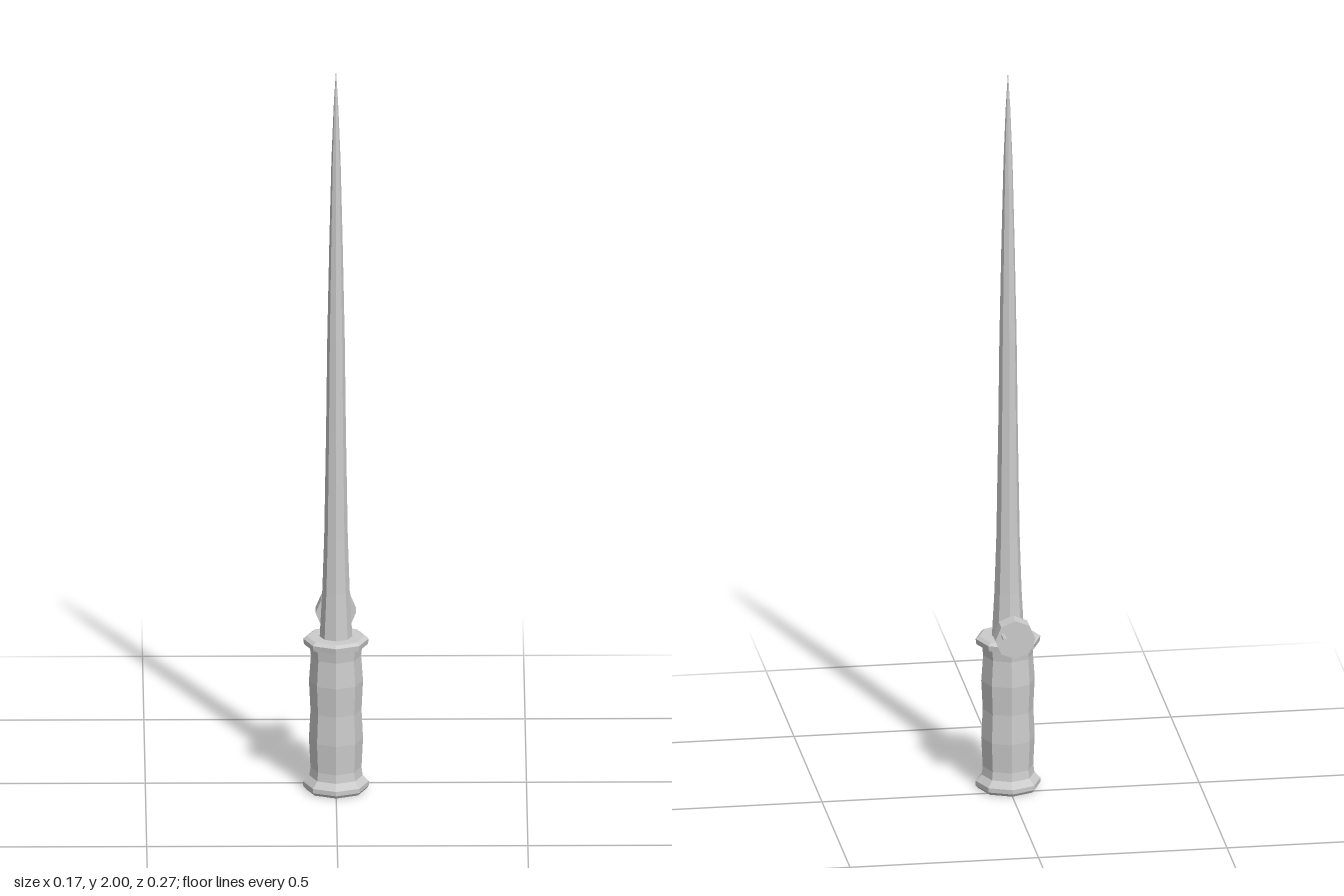
import * as THREE from 'three';

const AXIS_Z = 0.045; // depth of the rod's centre line

export function createModel() {
  const group = new THREE.Group();
  const material = new THREE.MeshStandardMaterial({ color: 0xcccccc, flatShading: true });

  const add = (name, geometry, x, y, z) => {
    const mesh = new THREE.Mesh(geometry, material);
    mesh.name = name;
    mesh.position.set(x, y, z);
    group.add(mesh);
  };

  // Eight-sided turned part from [radius, height] pairs, bottom to top
  const turned = (name, profile) => {
    const points = profile.map(([r, y]) => new THREE.Vector2(r, y));
    add(name, new THREE.LatheGeometry(points, 8), 0, 0, AXIS_Z);
  };

  // Cylinder lying along z between two depths
  const rodAlongZ = (name, radius, sides, x, y, z0, z1) => {
    const geometry = new THREE.CylinderGeometry(radius, radius, Math.abs(z1 - z0), sides);
    add(name, geometry.rotateX(Math.PI / 2), x, y, (z0 + z1) / 2);
  };

  // Grip with a flared collar at each end
  turned('grip', [
    [0, 0], [0.08, 0], [0.086, 0.008], [0.086, 0.02], [0.07, 0.037],
    [0.067, 0.06], [0.071, 0.14], [0.067, 0.22], [0.071, 0.3], [0.066, 0.37],
    [0.069, 0.398], [0.084, 0.402], [0.086, 0.417], [0.076, 0.424], [0, 0.424],
  ]);

  // Long tapering shaft
  turned('shaft', [
    [0.043, 0.42], [0.036, 0.55], [0.031, 0.7], [0.026, 1.0], [0.023, 1.25],
    [0.018, 1.5], [0.012, 1.75], [0.006, 1.9], [0, 2.0],
  ]);

  // Reel on a short stem behind the shaft
  rodAlongZ('reelStem', 0.008, 8, 0, 0.457, 0.03, -0.05);
  rodAlongZ('reelDrum', 0.053, 8, 0, 0.457, -0.043, -0.087);

  // Crank on the back of the reel
  rodAlongZ('crankPin', 0.0035, 6, 0.034, 0.475, -0.08, -0.105);
  rodAlongZ('crankKnob', 0.006, 8, 0.034, 0.475, -0.1, -0.135);

  return group;
}
